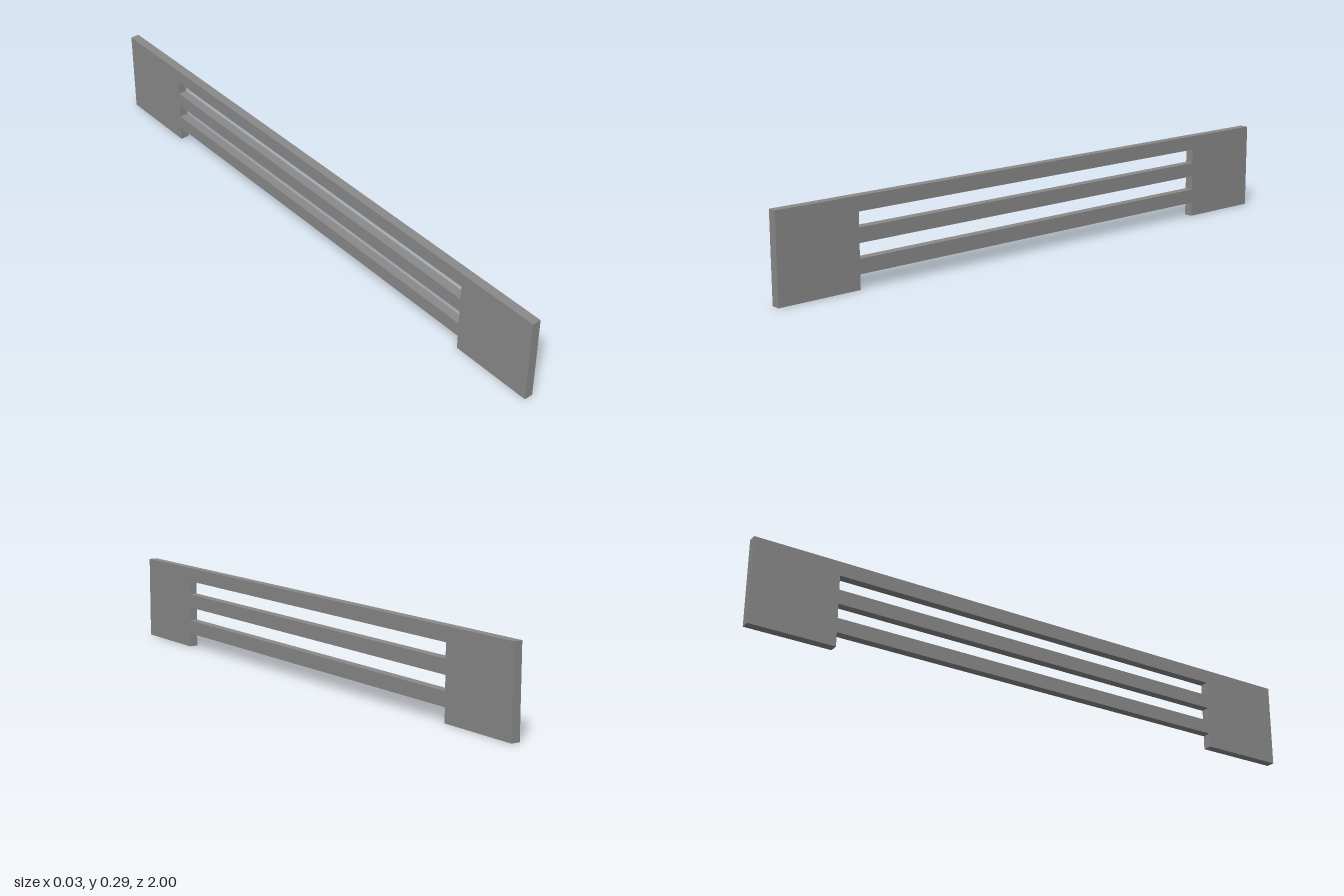
import * as THREE from 'three';

const LENGTH = 2, HEIGHT = 0.286, THICK = 0.03;
const SLOT_HALF = 0.714; // half length of the openings
const BAR = HEIGHT / 6, GAP = HEIGHT / 6; // bars and openings alternate evenly

export function createModel() {
  const group = new THREE.Group();
  group.name = 'slottedPanel';

  // Side outline with the long notch under the lowest bar
  const h = LENGTH / 2, s = SLOT_HALF;
  const outline = new THREE.Shape([
    [-h, 0], [-s, 0], [-s, GAP], [s, GAP], [s, 0], [h, 0], [h, HEIGHT], [-h, HEIGHT],
  ].map(([x, y]) => new THREE.Vector2(x, y)));

  // Two long slots between the three bars
  for (let i = 1; i <= 2; i++) {
    const y0 = i * (GAP + BAR), y1 = y0 + GAP;
    outline.holes.push(new THREE.Path([
      [-s, y0], [-s, y1], [s, y1], [s, y0],
    ].map(([x, y]) => new THREE.Vector2(x, y))));
  }

  // Extrude to the panel thickness and turn the length along z
  const geometry = new THREE.ExtrudeGeometry(outline, { depth: THICK, bevelEnabled: false });
  geometry.translate(0, 0, -THICK / 2);
  geometry.rotateY(Math.PI / 2);

  const panel = new THREE.Mesh(geometry, new THREE.MeshStandardMaterial({ color: 0x8a8a8a }));
  panel.name = 'panel';
  group.add(panel);
  return group;
}
